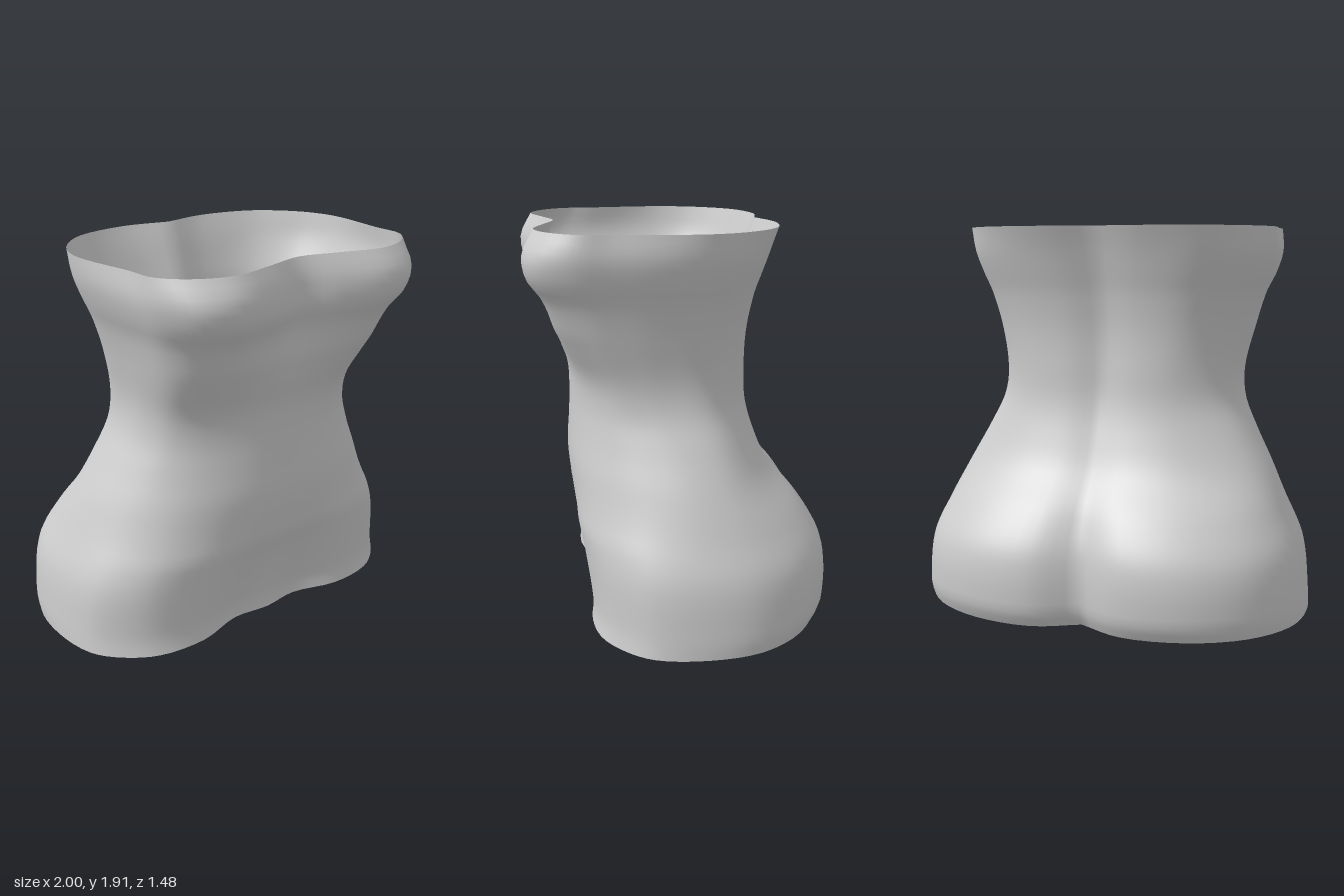
import * as THREE from 'three';

// Half cross-sections as x, z pairs, running from front centre round the left side to back centre
const hem = [0, .41, .2, .39, .45, .455, .7, .43, .86, .33, .96, .2, 1, -.05, .96, -.3, .8, -.52, .54, -.66, .23, -.69, 0, -.59];
const hip = [0, .455, .2, .455, .45, .48, .7, .42, .84, .32, .93, .19, .97, -.05, .94, -.3, .8, -.53, .54, -.685, .23, -.72, 0, -.63];
const belly = [0, .535, .2, .53, .42, .49, .58, .42, .69, .32, .77, .18, .81, 0, .77, -.18, .65, -.31, .42, -.42, .18, -.45, 0, -.42];
const waist = [0, .52, .18, .51, .36, .47, .49, .41, .57, .33, .61, .2, .615, .08, .6, -.1, .52, -.22, .36, -.32, .17, -.345, 0, -.3];
const bust = [0, .62, .2, .68, .44, .74, .62, .69, .72, .54, .745, .35, .765, .1, .75, -.08, .68, -.23, .5, -.37, .22, -.41, 0, -.37];
const topRim = [0, .58, .2, .63, .44, .685, .62, .62, .73, .5, .745, .33, .785, .05, .78, -.08, .72, -.24, .54, -.42, .25, -.485, 0, -.44];
const sections = [[0, ...hem], [.33, ...hip], [.72, ...belly], [1.2, ...waist], [1.75, ...bust], [1.91, ...topRim]];

// Silhouette by height: y, half width, front z, back z
const outline = [
  [0, 1, .455, -.69], [.08, 1, .448, -.73], [.34, .97, .482, -.72], [.53, .892, .512, -.62],
  [.72, .808, .532, -.465], [.9, .71, .525, -.385], [1.05, .635, .52, -.345], [1.2, .615, .528, -.335],
  [1.4, .65, .588, -.337], [1.58, .7, .655, -.365], [1.68, .745, .725, -.395], [1.8, .783, .74, -.435],
  [1.91, .79, .685, -.48],
];

// Smooth cubic reading of a table whose rows start with their height
function readTable(rows, y) {
  let i = 0;
  while (i < rows.length - 2 && y > rows[i + 1][0]) i++;
  const last = rows.length - 1, a = rows[i], b = rows[i + 1], h = b[0] - a[0], t = (y - a[0]) / h;
  const slope = (n, k) => {
    const p = rows[Math.max(n - 1, 0)], q = rows[Math.min(n + 1, last)];
    return (q[k] - p[k]) / (q[0] - p[0]);
  };
  const ease = t * t * (3 - 2 * t);
  return a.map((v, k) => v + (b[k] - v) * ease
    + h * t * (1 - t) * ((1 - t) * slope(i, k) - t * slope(i + 1, k))).slice(1);
}

// Section at height y fitted to the silhouette; the ring starts and ends in a crease at back centre
function ringAt(y, count) {
  const half = readTable(sections, y);
  const [width, front, back] = readTable(outline, y);
  const xs = half.filter((_, k) => k % 2 === 0);
  const zs = half.filter((_, k) => k % 2 === 1);
  const xMax = Math.max(...xs), zMax = Math.max(...zs), zMin = Math.min(...zs);
  const left = xs.map((x, k) => new THREE.Vector3(
    x / xMax * width, y, THREE.MathUtils.mapLinear(zs[k], zMin, zMax, back, front)));
  const right = left.slice(1).reverse().map(p => new THREE.Vector3(-p.x, y, p.z));
  return new THREE.CatmullRomCurve3([...right, ...left]).getPoints(count).slice(0, count);
}

export function createModel() {
  const group = new THREE.Group();
  group.name = 'torsoGarment';
  const grey = new THREE.MeshStandardMaterial({ color: 0xcccccc, side: THREE.DoubleSide });
  grey.name = 'light grey';

  // Open tube lofted through the rings
  const rows = 48, count = 88;
  const positions = [], index = [];
  for (let j = 0; j <= rows; j++) {
    for (const p of ringAt(1.91 * j / rows, count)) positions.push(p.x, p.y, p.z);
  }
  for (let j = 0; j < rows; j++) {
    for (let i = 0; i < count; i++) {
      const a = j * count + i, b = j * count + (i + 1) % count;
      index.push(a, b, a + count, b, b + count, a + count);
    }
  }
  const geometry = new THREE.BufferGeometry();
  geometry.setAttribute('position', new THREE.Float32BufferAttribute(positions, 3));
  geometry.setIndex(index);
  geometry.computeVertexNormals();

  const shell = new THREE.Mesh(geometry, grey);
  shell.name = 'bodice';
  group.add(shell);
  return group;
}
